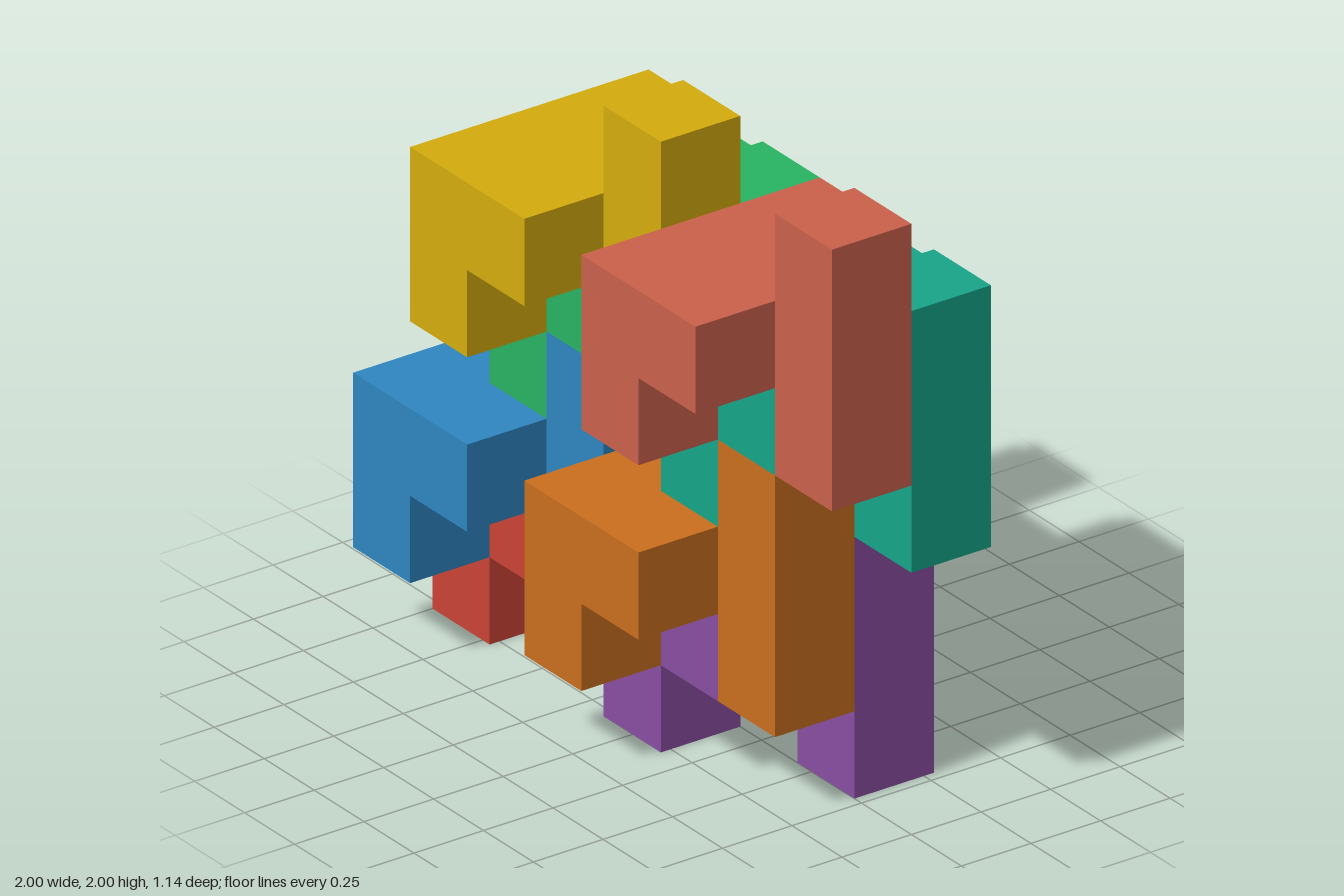
import * as THREE from 'three';
import { mergeGeometries } from 'three/addons/utils/BufferGeometryUtils.js';

const UNIT = 2 / 7;

// One puzzle piece as grid cells [x, y, z]; all pieces share this shape
const CELLS = [
  [0, 1, 0], [0, 1, 1], [0, 1, 2], // bar running back to front
  [0, 0, 2],                       // foot under the front end of the bar
  [1, 1, 1], [1, 1, 2],            // bridge beside the bar
  [2, 0, 1], [2, 1, 1], [2, 2, 1], // upright post
];

// Grid offset and colour of each interlocking piece
const PIECES = [
  ['redPiece', [0, 0, 0], 0xcb4335],
  ['purplePiece', [3, 0, 0], 0x884ea0],
  ['bluePiece', [0, 1, 1], 0x2e86c1],
  ['orangePiece', [3, 1, 1], 0xca6f1e],
  ['greenPiece', [1, 3, 0], 0x28b463],
  ['tealPiece', [4, 3, 0], 0x17a589],
  ['yellowPiece', [1, 4, 1], 0xd4ac0d],
  ['coralPiece', [4, 4, 1], 0xcb614b],
];

// Outward directions of a cell, with the rotation that turns a +z plane to face each one
const SIDES = [
  [[0, 0, 1], 0, 0], [[0, 0, -1], 0, Math.PI],
  [[1, 0, 0], 0, Math.PI / 2], [[-1, 0, 0], 0, -Math.PI / 2],
  [[0, 1, 0], -Math.PI / 2, 0], [[0, -1, 0], Math.PI / 2, 0],
];

// Outer skin of a set of cells: squares only where there is no neighbour
function cellSkin(cells) {
  const filled = new Set(cells.map(String));
  const faces = [];
  for (const cell of cells) {
    for (const [dir, rx, ry] of SIDES) {
      if (filled.has(String(cell.map((c, i) => c + dir[i])))) continue;
      const centre = cell.map((c, i) => (c + 0.5 + dir[i] / 2) * UNIT);
      faces.push(new THREE.PlaneGeometry(UNIT, UNIT).rotateX(rx).rotateY(ry).translate(...centre));
    }
  }
  return mergeGeometries(faces);
}

export function createModel() {
  const model = new THREE.Group();
  model.name = 'interlockingBlocks';
  const skin = cellSkin(CELLS);
  for (const [name, [x, y, z], color] of PIECES) {
    const piece = new THREE.Mesh(skin, new THREE.MeshStandardMaterial({ color }));
    piece.name = name;
    piece.position.set((x - 3.5) * UNIT, y * UNIT, (z - 2) * UNIT);
    model.add(piece);
  }
  return model;
}
